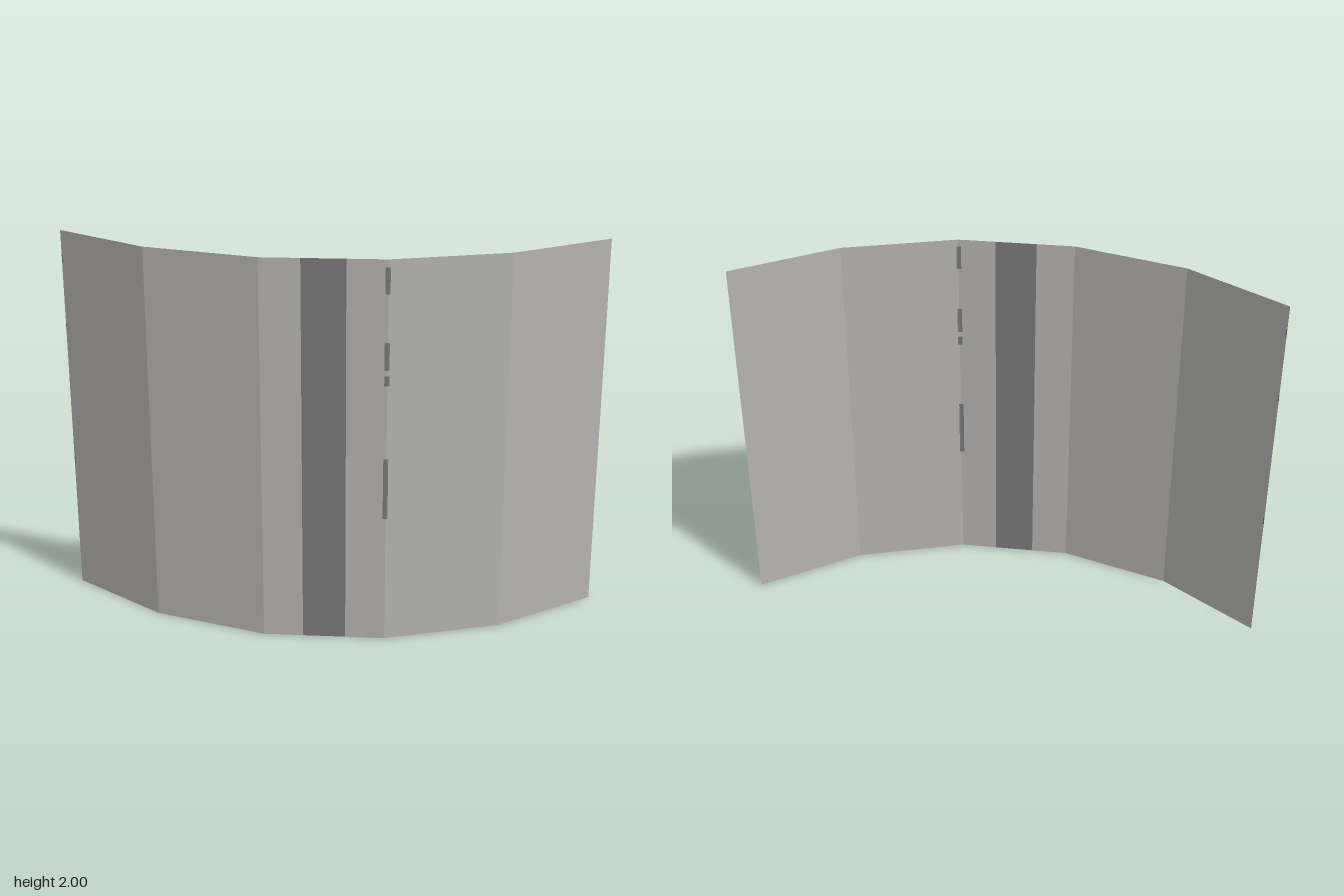
import * as THREE from 'three';

const HEIGHT = 2, SEGMENTS = 5, RADIUS = 2;

// Corner of the faceted quarter arc, in plan
function corner(i) {
  const a = (i / SEGMENTS) * Math.PI / 2;
  return new THREE.Vector2(RADIUS * Math.cos(a) - 1, RADIUS * Math.sin(a) - 1);
}

// Point at s along the arc: whole part is the facet, fraction the way across it
function along(s) {
  const i = Math.min(Math.floor(s), SEGMENTS - 1);
  return corner(i).lerp(corner(i + 1), s - i);
}

// Flat upright rectangle between s0 and s1 (same facet), facing outwards
function panel(name, s0, s1, y0, y1, material) {
  const r = along(s0), l = along(s1);
  const g = new THREE.BufferGeometry();
  g.setAttribute('position', new THREE.Float32BufferAttribute([
    l.x, y0, l.y, r.x, y0, r.y, r.x, y1, r.y, l.x, y1, l.y,
  ], 3));
  g.setIndex([0, 1, 2, 0, 2, 3]);
  g.computeVertexNormals();
  const mesh = new THREE.Mesh(g, material);
  mesh.name = name;
  return mesh;
}

export function createModel() {
  const concrete = new THREE.MeshStandardMaterial({ color: 0xb5b4b1, side: THREE.DoubleSide });
  concrete.name = 'warm grey';
  const stain = new THREE.MeshStandardMaterial({ color: 0x7a7a7a, side: THREE.DoubleSide });
  stain.name = 'dark grey';

  const wall = new THREE.Group();
  wall.name = 'curvedWall';

  // Dark height ranges of the stained columns
  const full = [[0, HEIGHT]];
  const seam = [[0.67, 0.99], [1.37, 1.42], [1.45, 1.59], [1.83, 1.96]];
  const edge = [[0.71, 0.75], [1.46, 1.5], [1.83, 1.87]];

  // Columns along the arc: start, end, dark ranges
  const columns = [
    [0, 1, []], [1, 1.985, []], [1.985, 2, seam],
    [2, 2.025, seam], [2.025, 2.323, []], [2.323, 2.674, full], [2.674, 3, []],
    [3, 4, []], [4, 4.988, []], [4.988, 5, edge],
  ];

  for (const [s0, s1, dark] of columns) {
    let y = 0;
    for (const [a, b] of dark) {
      if (a > y) wall.add(panel('wallPanel', s0, s1, y, a, concrete));
      wall.add(panel('darkStreak', s0, s1, a, b, stain));
      y = b;
    }
    if (y < HEIGHT) wall.add(panel('wallPanel', s0, s1, y, HEIGHT, concrete));
  }
  return wall;
}
